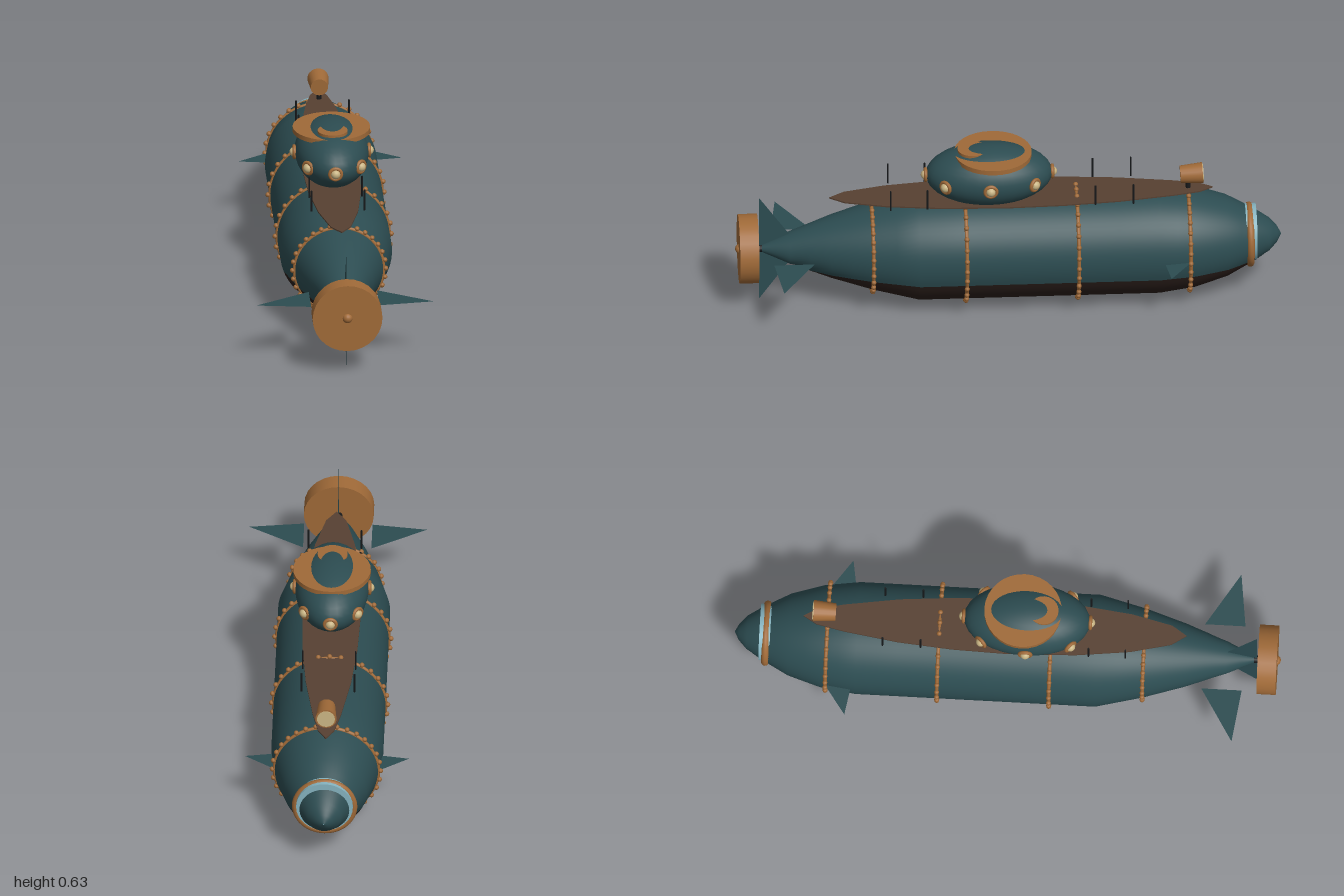
import * as THREE from 'three';
import { ParametricGeometry } from 'three/addons/geometries/ParametricGeometry.js';

const AXIS = 0.23; // height of the hull axis
const mat = (color, side = THREE.FrontSide) => {
  const m = new THREE.MeshStandardMaterial({ color });
  m.side = side;
  return m;
};
const teal = mat(0x2c4c51), keel = mat(0x2a1e1a), brass = mat(0xa06a38), wood = mat(0x574132),
  dark = mat(0x17191b), lens = mat(0xc8b483), glass = mat(0x86b4c0),
  finMat = mat(0x2c4c51, THREE.DoubleSide);

// Hull radius at stations along z, bow (-z) to stern (+z)
const PROFILE = [[-1, 0.002], [-0.985, 0.03], [-0.955, 0.062], [-0.9, 0.097], [-0.8, 0.15], [-0.68, 0.187],
  [-0.55, 0.205], [-0.25, 0.205], [0, 0.205], [0.33, 0.205], [0.5, 0.163], [0.65, 0.116], [0.8, 0.06], [0.91, 0.01]];

export function createModel() {
  const model = new THREE.Group();

  function add(name, geometry, material, x = 0, y = 0, z = 0, parent = model) {
    const mesh = new THREE.Mesh(geometry, material);
    mesh.name = name;
    mesh.position.set(x, y, z);
    parent.add(mesh);
    return mesh;
  }

  // Hull shell, parted at a level waterline into an upper and a lower skin
  function hullSkin(lower) {
    const waterline = 0.16 - AXIS, steps = (PROFILE.length - 1) * 2;
    const geo = new ParametricGeometry((u, v, out) => {
      const t = THREE.MathUtils.clamp(v, 0, 1) * (PROFILE.length - 1);
      const i = Math.min(Math.floor(t), PROFILE.length - 2), f = t - i;
      const z = THREE.MathUtils.lerp(PROFILE[i][0], PROFILE[i + 1][0], f);
      const r = THREE.MathUtils.lerp(PROFILE[i][1], PROFILE[i + 1][1], f);
      const a = Math.asin(Math.max(-1, waterline / r));
      const angle = lower ? THREE.MathUtils.lerp(-Math.PI - a, a, u) : THREE.MathUtils.lerp(a, Math.PI - a, u);
      out.set(r * Math.cos(angle), AXIS + r * Math.sin(angle), z);
    }, lower ? 24 : 40, steps);
    geo.computeVertexNormals();
    return geo;
  }
  add('upperHull', hullSkin(false), teal);
  add('lowerHull', hullSkin(true), keel);

  // Riveted hoops
  const rivetGeo = new THREE.SphereGeometry(0.0095, 8, 6);
  for (const [z, r] of [[0.5, 0.163], [0.16, 0.205], [-0.25, 0.205], [-0.66, 0.19]]) {
    const hoop = new THREE.Group();
    hoop.name = 'rivetedHoop';
    hoop.position.set(0, AXIS, z);
    add('hoop', new THREE.TorusGeometry(r, 0.007, 8, 48), brass, 0, 0, 0, hoop);
    for (let i = 0; i < 32; i++) {
      const a = i / 32 * Math.PI * 2;
      add('rivet', rivetGeo, brass, (r + 0.008) * Math.cos(a), (r + 0.008) * Math.sin(a), 0, hoop);
    }
    model.add(hoop);
  }

  // Bow window and its rim
  add('bowWindow', new THREE.CylinderGeometry(0.104, 0.104, 0.04, 32).rotateX(Math.PI / 2), glass, 0, AXIS + 0.012, -0.889);
  add('bowRim', new THREE.TorusGeometry(0.106, 0.014, 10, 40), brass, 0, AXIS, -0.885);

  // Deck: pointed lens outline, shape y is -z
  const half = [[0.6, 0.037], [0.45, 0.073], [0.25, 0.097], [0, 0.106], [-0.2, 0.1], [-0.4, 0.083], [-0.6, 0.052], [-0.7, 0.03]];
  const outline = [[0.655, 0], ...half, [-0.75, 0], ...half.slice().reverse().map(([z, x]) => [z, -x])];
  const deck = new THREE.Shape(outline.map(([z, x]) => new THREE.Vector2(x, -z)));
  add('deck', new THREE.ExtrudeGeometry(deck, { depth: 0.005, bevelEnabled: false }).rotateX(-Math.PI / 2), wood, 0, 0.434, 0);

  // Deck posts
  const postGeo = new THREE.CylinderGeometry(0.0035, 0.0035, 0.08, 6);
  for (const z of [0.435, 0.3, -0.315, -0.455])
    for (const x of [-0.097, 0.097]) add('deckPost', postGeo, dark, x, 0.475, z);

  // Conning tower with cap plate and hatch
  const tower = new THREE.Group();
  tower.name = 'conningTower';
  tower.position.set(0, 0.525, 0.07);
  model.add(tower);
  add('towerBody', new THREE.SphereGeometry(1, 32, 20).scale(0.135, 0.112, 0.232), teal, 0, 0, 0, tower);
  add('capPlate', new THREE.CylinderGeometry(0.142, 0.142, 0.018, 32), brass, 0, 0.083, -0.015, tower);
  add('hatch', new THREE.CylinderGeometry(0.055, 0.055, 0.012, 24), brass, 0, 0.1, 0.06, tower);

  // Eight portholes around the tower
  for (let i = 0; i < 8; i++) {
    const a = i / 8 * Math.PI * 2;
    const port = new THREE.Group();
    port.name = 'porthole';
    port.position.set(0.137 * Math.sin(a), 0, 0.232 * Math.cos(a));
    port.rotation.y = a;
    add('portRim', new THREE.TorusGeometry(0.021, 0.007, 8, 20), brass, 0, 0, 0, port);
    add('portGlass', new THREE.SphereGeometry(0.018, 16, 10), lens, 0, 0, 0, port);
    tower.add(port);
  }

  // Searchlight near the bow
  const lamp = new THREE.Group();
  lamp.name = 'searchlight';
  lamp.position.set(0, 0.497, -0.672);
  lamp.rotation.x = 0.05;
  add('lampBody', new THREE.CylinderGeometry(0.032, 0.039, 0.082, 20).rotateX(Math.PI / 2), brass, 0, 0, 0, lamp);
  add('lampLens', new THREE.CylinderGeometry(0.033, 0.033, 0.006, 20).rotateX(Math.PI / 2), lens, 0, 0, -0.041, lamp);
  model.add(lamp);
  add('lampPost', new THREE.CylinderGeometry(0.009, 0.009, 0.06, 10), dark, 0, 0.45, -0.66);

  // Thin triangular fins
  function fin(name, ...points) {
    const geo = new THREE.BufferGeometry();
    geo.setAttribute('position', new THREE.Float32BufferAttribute(points.flat(), 3));
    geo.computeVertexNormals();
    add(name, geo, finMat);
  }
  for (const s of [-1, 1]) {
    fin('sternPlane', [s * 0.125, AXIS, 0.715], [s * 0.325, AXIS, 0.837], [s * 0.125, AXIS, 0.863]);
    fin('bowPlane', [s * 0.19, AXIS, -0.66], [s * 0.3, AXIS, -0.583], [s * 0.19, AXIS, -0.565]);
    fin('rudder', [0, AXIS + s * 0.215, 0.912], [0, AXIS + s * 0.055, 0.8], [0, AXIS, 0.912]);
  }

  // Propeller drum, shaft and hub
  add('propellerDrum', new THREE.CylinderGeometry(0.128, 0.128, 0.07, 28).rotateX(Math.PI / 2), brass, 0, AXIS, 0.952);
  add('propellerShaft', new THREE.CylinderGeometry(0.014, 0.014, 0.05, 12).rotateX(Math.PI / 2), dark, 0, AXIS, 0.91);
  add('propellerHub', new THREE.SphereGeometry(0.019, 16, 12), brass, 0, AXIS, 0.981);

  return model;
}
